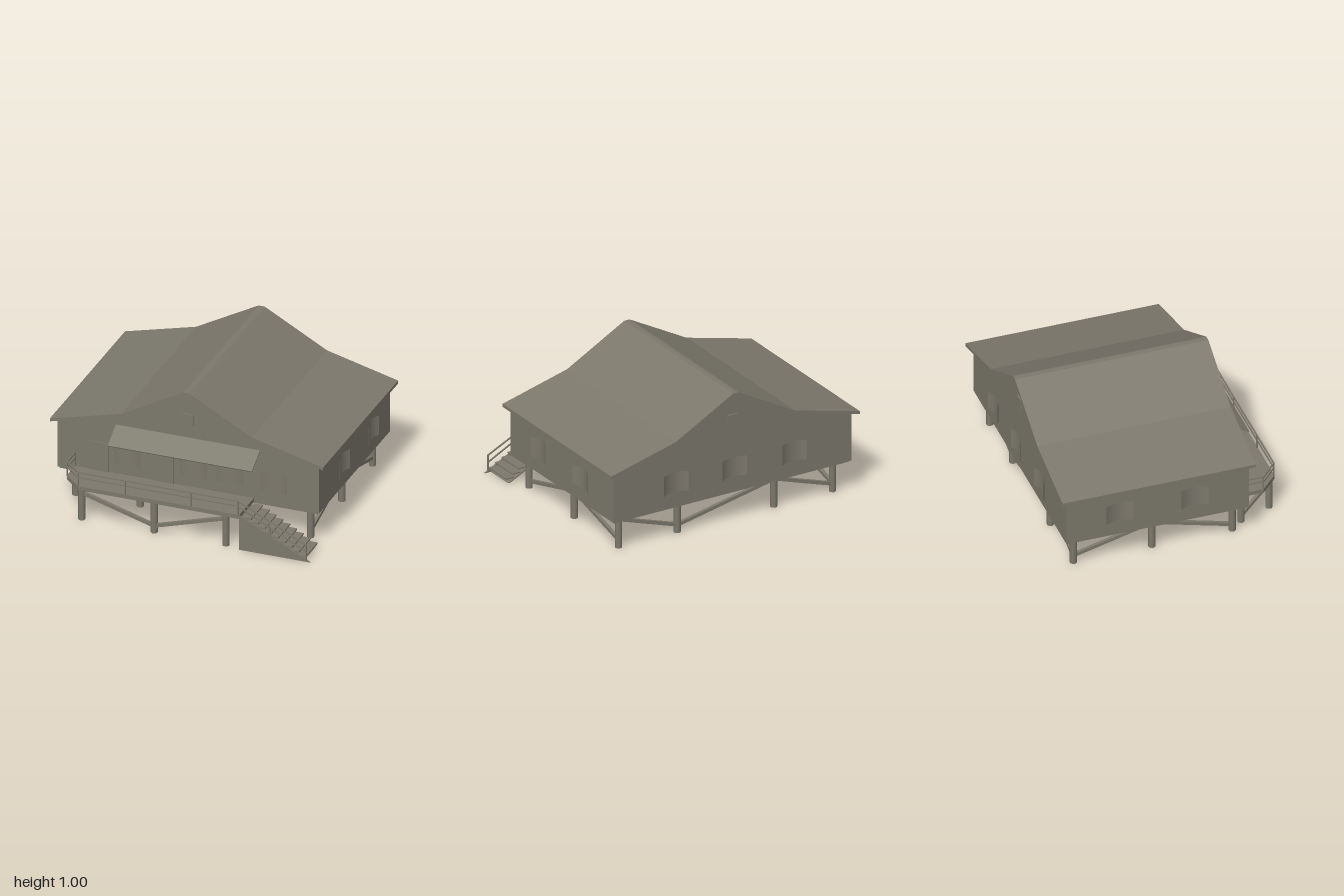
import * as THREE from 'three';

const timber = new THREE.MeshStandardMaterial({ color: 0x7c786c });
timber.name = 'weathered timber';
const sheet = new THREE.MeshStandardMaterial({ color: 0x7c786c, side: THREE.DoubleSide });
sheet.name = 'weathered sheet';

const V = (x, y, z) => new THREE.Vector3(x, y, z);

function add(parent, name, geometry, material = timber) {
  const mesh = new THREE.Mesh(geometry, material);
  mesh.name = name;
  parent.add(mesh);
  return mesh;
}

function box(parent, name, x0, x1, y0, y1, z0, z1) {
  const mesh = add(parent, name, new THREE.BoxGeometry(x1 - x0, y1 - y0, z1 - z0));
  mesh.position.set((x0 + x1) / 2, (y0 + y1) / 2, (z0 + z1) / 2);
  return mesh;
}

// Extrudes an x-y outline from z0 to z1
function prism(parent, name, points, z0, z1) {
  const shape = new THREE.Shape(points.map(([x, y]) => new THREE.Vector2(x, y)));
  const geometry = new THREE.ExtrudeGeometry(shape, { depth: z1 - z0, bevelEnabled: false });
  return add(parent, name, geometry.translate(0, 0, z0));
}

// Square bar between two points
function bar(parent, name, a, b, size) {
  const mesh = add(parent, name, new THREE.BoxGeometry(size, size, a.distanceTo(b)));
  mesh.position.copy(a).add(b).multiplyScalar(0.5);
  mesh.lookAt(b);
  return mesh;
}

function group(parent, name) {
  const g = new THREE.Group();
  g.name = name;
  parent.add(g);
  return g;
}

export function createModel() {
  const model = new THREE.Group();
  model.name = 'stiltHouse';

  // Walls with gable ends, and the floor beneath
  const house = group(model, 'house');
  const ridge = [[1, 0.612], [0.48, 0.745], [0.04, 0.985], [0.02, 0.995]];
  const outer = [...ridge, ...ridge.map(([x, y]) => [-x, y]).reverse()];
  const gable = outer.map(([x, y]) => (Math.abs(x) === 1 ? [0.957 * x, y] : [x, y - 0.011]));
  prism(house, 'walls', [[-0.957, 0.237], [0.957, 0.237], ...gable], -0.777, 0.54);
  box(house, 'floor', -0.945, 0.945, 0.226, 0.24, -0.765, 0.535);

  // Roof shell following the broken pitch
  const inner = outer.map(([x, y]) => [x, y - 0.022]).reverse();
  prism(house, 'roof', [...outer, ...inner], -0.82, 0.576);

  // Concave window panels, edges standing proud of the wall
  const radius = 0.182, half = Math.asin(0.098 / radius);
  const pane = new THREE.CylinderGeometry(radius, radius, 0.147, 12, 1, true, Math.PI - half, half * 2);
  pane.translate(0, 0.4235, radius + 0.002);
  const windows = group(house, 'windows');
  const windowAt = (x, z, turn) => {
    const mesh = add(windows, 'window', pane, sheet);
    mesh.position.set(x, 0, z);
    mesh.rotation.y = turn;
  };
  for (const x of [-0.435, 0.05, 0.318, 0.637]) windowAt(x, 0.54, 0);
  for (const x of [-0.48, 0, 0.47]) windowAt(x, -0.777, Math.PI);
  for (const z of [0.14, -0.4]) {
    windowAt(0.957, z, Math.PI / 2);
    windowAt(-0.957, z, -Math.PI / 2);
  }

  // Doors and attic vents
  box(house, 'door', -0.23, -0.105, 0.26, 0.5, 0.538, 0.547);
  box(house, 'sideHatch', -0.73, -0.58, 0.26, 0.48, 0.538, 0.547);
  box(house, 'frontVent', -0.045, 0.037, 0.735, 0.82, 0.538, 0.55);
  box(house, 'backVent', -0.04, 0.04, 0.735, 0.82, -0.787, -0.775);

  // Sloping awning on two braces
  const awning = group(model, 'awning');
  const canopy = box(awning, 'canopy', -0.53, 0.525, -0.004, 0.004, -0.088, 0.088);
  canopy.position.set(-0.0025, 0.59, 0.615);
  canopy.rotation.x = Math.atan2(0.09, 0.15);
  for (const x of [-0.253, 0.187]) {
    bar(awning, 'awningBrace', V(x, 0.515, 0.54), V(x, 0.548, 0.68), 0.009);
  }

  // Deck with a clipped corner
  const deck = group(model, 'deck');
  const plan = [[-0.83, 0.53], [0.48, 0.53], [0.48, 0.815], [-0.7, 0.815], [-0.83, 0.69]];
  const platform = prism(deck, 'platform', plan.map(([x, z]) => [x, -z]), 0, 0.03);
  platform.rotation.x = -Math.PI / 2;
  platform.position.y = 0.235;

  // Railing around the deck and down the stairs
  const corners = [[-0.828, 0.545], [-0.828, 0.69], [-0.7, 0.81], [0.47, 0.81]];
  for (const y of [0.368, 0.33]) {
    for (let i = 0; i < 3; i++) {
      const [a, b] = [corners[i], corners[i + 1]];
      bar(deck, 'rail', V(a[0], y, a[1]), V(b[0], y, b[1]), 0.009);
    }
    const drop = y > 0.35 ? 0.128 : 0.075;
    bar(deck, 'stairRail', V(0.47, y, 0.81), V(0.97, drop, 0.81), 0.009);
  }
  for (const [x, z] of [...corners, [-0.355, 0.81], [0.125, 0.81]]) {
    bar(deck, 'railPost', V(x, 0.26, z), V(x, 0.372, z), 0.009);
  }
  bar(deck, 'railPost', V(0.7, 0.13, 0.81), V(0.7, 0.255, 0.81), 0.009);
  bar(deck, 'railPost', V(0.97, 0.015, 0.81), V(0.97, 0.13, 0.81), 0.009);

  // Stairs with a solid outer side panel
  const stairs = group(model, 'stairs');
  prism(stairs, 'sidePanel', [[0.48, 0], [1, 0], [0.53, 0.237], [0.48, 0.26]], 0.805, 0.815);
  prism(stairs, 'underside', [[0.48, 0.225], [0.93, 0], [0.95, 0], [0.48, 0.235]], 0.585, 0.806);
  const steps = 9;
  for (let i = 0; i < steps; i++) {
    const x = 0.5 + i * 0.05, y = 0.25 - i * 0.0265;
    box(stairs, 'tread', x, x + 0.065, y - 0.01, y, 0.585, 0.806);
  }

  // Stilts under the house and deck
  const frame = group(model, 'stilts');
  const stilt = new THREE.CylinderGeometry(0.025, 0.025, 0.235, 8).rotateY(Math.PI / 8);
  const stiltAt = (x, z) => add(frame, 'stilt', stilt).position.set(x, 0.1175, z);
  const columns = [-0.857, -0.385, 0.39, 0.862], rows = [-0.692, -0.125, 0.455];
  for (const x of columns) for (const z of rows) stiltAt(x, z);
  const deckStilts = [[-0.78, 0.545], [-0.685, 0.78], [-0.155, 0.78], [0.37, 0.78]];
  for (const [x, z] of deckStilts) stiltAt(x, z);

  // Zigzag braces along the sides, back and deck front
  const zigzag = (points) => {
    for (let i = 0; i + 1 < points.length; i++) {
      bar(frame, 'brace', V(...points[i]), V(...points[i + 1]), 0.024);
    }
  };
  for (const x of [columns[0], columns[3]]) {
    zigzag([[x, 0.05, rows[2]], [x, 0.205, rows[1]], [x, 0.06, rows[0]]]);
  }
  zigzag(columns.map((x, i) => [x, i % 2 ? 0.21 : 0.055, rows[0]]));
  zigzag(deckStilts.map(([x, z], i) => [x, i % 2 ? 0.205 : 0.05, z]));

  return model;
}
